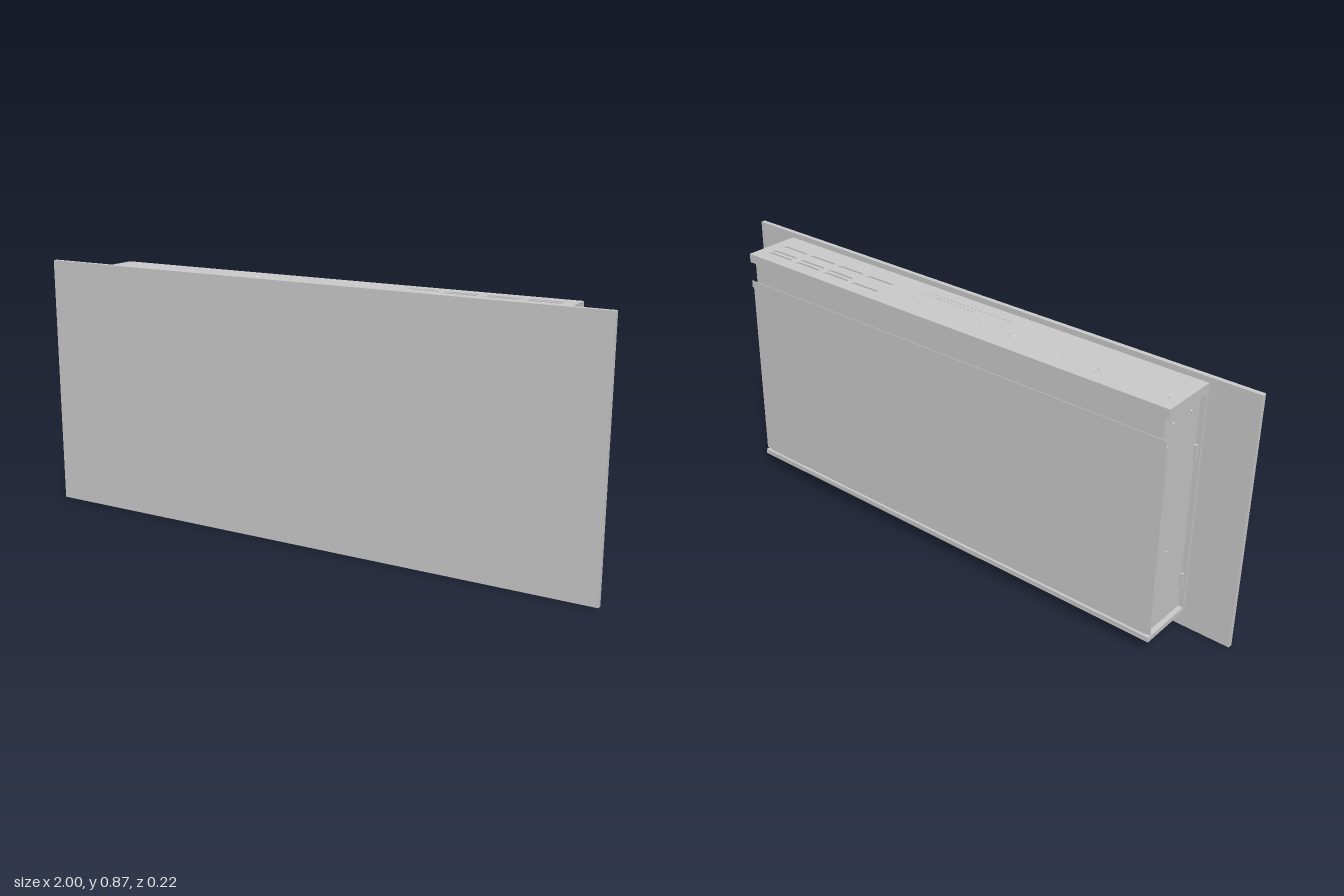
import * as THREE from 'three';

const grey = new THREE.MeshStandardMaterial({ color: 0xcccccc, flatShading: true });

export function createModel() {
  const model = new THREE.Group();
  model.name = 'wallFireplace';

  const add = (name, geometry) => {
    const mesh = new THREE.Mesh(geometry, grey);
    mesh.name = name;
    model.add(mesh);
    return mesh;
  };
  // Box given by its limits on each axis
  const box = (name, [x0, x1], [y0, y1], [z0, z1]) => {
    const mesh = add(name, new THREE.BoxGeometry(x1 - x0, y1 - y0, z1 - z0));
    mesh.position.set((x0 + x1) / 2, (y0 + y1) / 2, (z0 + z1) / 2);
    return mesh;
  };
  // Rounded slot outline; shape y is -z once laid flat
  const slot = (x, z, length, width) => {
    const r = width / 2, h = length / 2 - r, path = new THREE.Path();
    path.absarc(x + h, -z, r, -Math.PI / 2, Math.PI / 2);
    path.absarc(x - h, -z, r, Math.PI / 2, Math.PI * 1.5);
    path.closePath();
    return path;
  };
  const screw = (name, x, y, z, r, axis) => {
    const mesh = add(name, new THREE.CylinderGeometry(r * 0.7, r, 0.004, 12));
    mesh.position.set(x, y, z);
    if (axis === 'x') mesh.rotation.z = -Math.PI / 2 * Math.sign(x);
  };

  const W = 0.837, BACK = -0.107, FRONT = 0.093;

  // Wide front pane with a barely raised viewing window
  box('frontPanel', [-1, 1], [0, 0.865], [FRONT, 0.109]);
  box('viewingWindow', [-0.8, 0.8], [0.2, 0.66], [0.105, 0.1095]);

  // Firebox, back sheet and bottom tray
  box('firebox', [-0.82, 0.82], [0.06, 0.832], [-0.098, FRONT]);
  box('backSheet', [-W, W], [0.08, 0.727], [-0.101, -0.095]);
  box('bottomTray', [-W, W], [0.057, 0.074], [BACK, FRONT]);

  // Top cover sheet with vent slots and two rows of fine slits
  const cover = new THREE.Shape();
  cover.moveTo(-W, -FRONT).lineTo(W, -FRONT).lineTo(W, -BACK).lineTo(-W, -BACK).closePath();
  const ventXs = [0.343, 0.475, 0.608, 0.74];
  const ventRows = [[-0.056, 0], [-0.034, 1], [0.014, 0]];
  for (const [z, first] of ventRows) {
    for (const x of ventXs.slice(first)) cover.holes.push(slot(x, z, 0.108, 0.014));
  }
  for (let i = 0; i < 22; i++) cover.holes.push(slot(-0.165 + i * 0.016, 0.045, 0.009, 0.005));
  for (let i = 0; i < 14; i++) cover.holes.push(slot(-0.035 + i * 0.016, 0.028, 0.009, 0.004));
  const coverGeometry = new THREE.ExtrudeGeometry(cover, { depth: 0.005, bevelEnabled: false, curveSegments: 6 });
  coverGeometry.rotateX(-Math.PI / 2);
  add('topCover', coverGeometry).position.y = 0.842;

  // Folded skirt around the top cover
  box('topSkirtBack', [-W, W], [0.817, 0.842], [BACK, BACK + 0.006]);
  for (const s of [-1, 1]) {
    const x = [s * W, s * (W - 0.006)].sort((a, b) => a - b);
    box('topSkirtSide', x, [0.817, 0.842], [BACK + 0.006, FRONT]);
  }

  // Tilted louvre blades below the vents
  for (const [z, first] of ventRows) {
    for (const x of ventXs.slice(first)) {
      const blade = box('ventLouvre', [x - 0.05, x + 0.05], [0.838, 0.84], [z - 0.006, z + 0.006]);
      blade.rotation.x = 0.4;
    }
  }

  // Hanging rail across the back: a shelf with an upturned lip
  box('hangingRailShelf', [-W, W], [0.725, 0.728], [BACK, -0.095]);
  box('hangingRailLip', [-W, W], [0.725, 0.749], [BACK, BACK + 0.002]);

  // Side flanges with locating tabs, mirrored
  for (const s of [-1, 1]) {
    const span = (a, b) => [s * a, s * b].sort((p, q) => p - q);
    box('sideFlange', span(0.815, W), [0.074, 0.817], [0.084, FRONT]);
    for (const y of [0.15, 0.6]) box('flangeTab', span(0.815, 0.829), [y, y + 0.05], [0.075, 0.085]);
    for (const z of [0.04, -0.053]) screw('sideScrew', s * 0.821, 0.775, z, 0.005, 'x');
    for (const [y, z] of [[0.665, -0.083], [0.452, -0.08], [0.332, -0.022], [0.327, -0.081]]) {
      screw('sideScrew', s * 0.821, y, z, 0.004, 'x');
    }
  }

  // Wiring cover on the left side, with cable studs and a seam above
  box('wiringCover', [0.82, 0.823], [0.086, 0.148], [-0.058, 0.05]);
  for (let i = 0; i < 5; i++) screw('cableStud', 0.824, 0.102, 0.024 - i * 0.013, 0.005, 'x');
  box('cableOutlet', [0.82, 0.828], [0.077, 0.083], [-0.035, 0.028]);
  box('sideSeam', [0.82, 0.822], [0.784, 0.786], [-0.068, 0.055]);

  // Screws on the top cover
  const topScrews = [[-0.24, -0.022, 0.009], [0.122, -0.03, 0.006], [0.235, -0.022, 0.006],
    [-0.56, -0.06, 0.004], [-0.56, -0.038, 0.004], [-0.43, -0.03, 0.004],
    [-0.8, -0.052, 0.004], [-0.12, -0.034, 0.004]];
  for (const [x, z, r] of topScrews) screw('topScrew', x, 0.849, z, r, 'y');

  return model;
}
